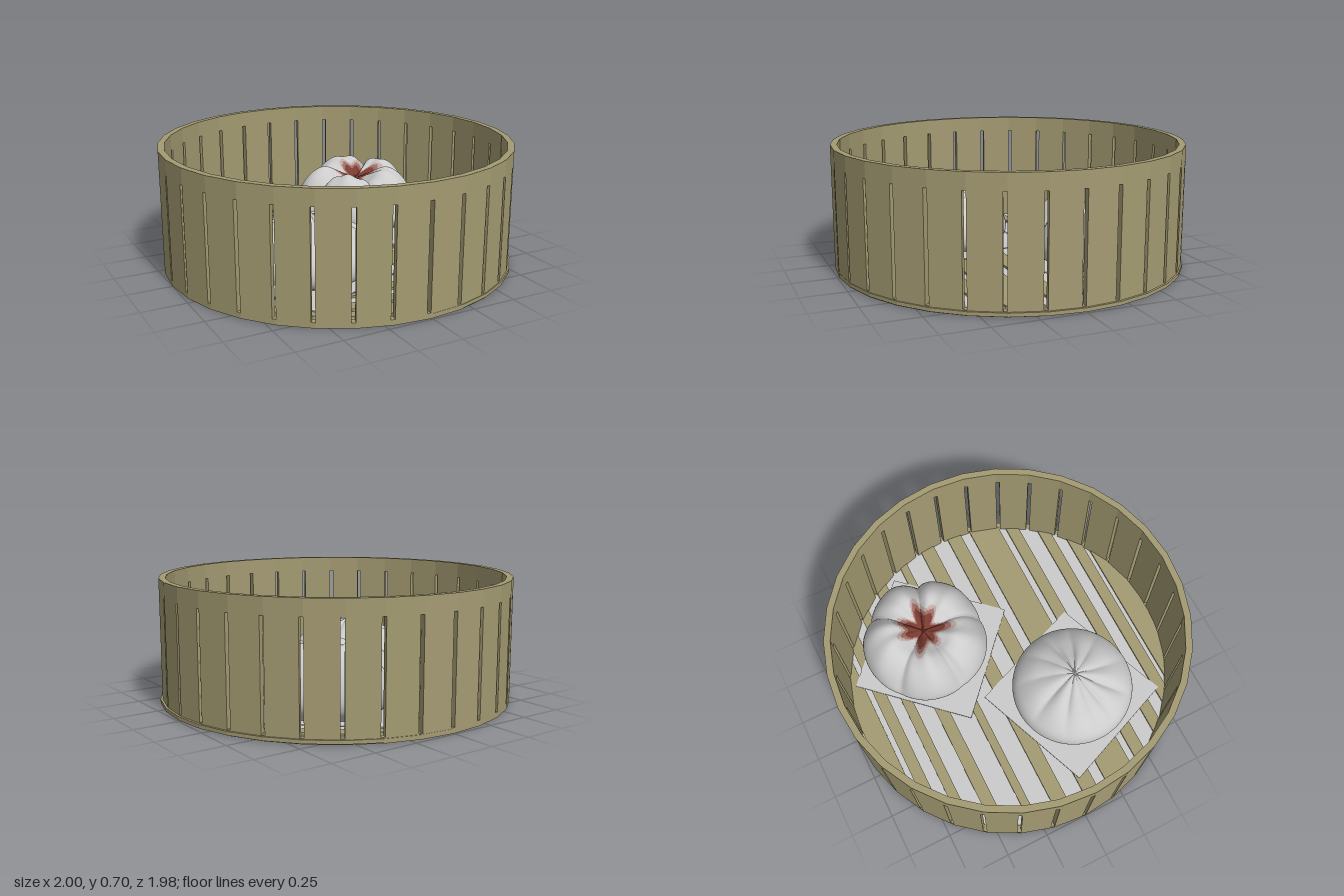
import * as THREE from 'three';
import { mergeGeometries, mergeVertices } from 'three/addons/utils/BufferGeometryUtils.js';

const SIDES = 32, OUTER = 0.992, INNER = 0.955, TOP = 0.7;
const mat = (color) => new THREE.MeshStandardMaterial({ color });
const bamboo = mat(0xa49b72);
const white = mat(0xcccccc);
const dough = mat(0xd4d6d8);
const filling = mat(0x7c3a30);
const blush = mat(0x9c6c64);
const paleBlush = mat(0xbea8a4);

function add(parent, name, geometry, material) {
  const mesh = new THREE.Mesh(geometry, material);
  mesh.name = name;
  parent.add(mesh);
  return mesh;
}

// Upright prism from a plan outline given as [x, z] points; a hole runs the other way round
function prism(points, y0, y1, hole) {
  const toV = ([x, z]) => new THREE.Vector2(x, -z);
  const shape = new THREE.Shape(points.map(toV));
  if (hole) shape.holes.push(new THREE.Path(hole.map(toV).reverse()));
  const g = new THREE.ExtrudeGeometry(shape, { depth: y1 - y0, bevelEnabled: false });
  return g.rotateX(-Math.PI / 2).translate(0, y0, 0);
}

const corner = (r, i) => {
  const a = (i / SIDES) * Math.PI * 2;
  return [r * Math.cos(a), r * Math.sin(a)];
};
const polygon = (r) => Array.from({ length: SIDES }, (_, i) => corner(r, i));
const mix = (p, q, f) => [p[0] + (q[0] - p[0]) * f, p[1] + (q[1] - p[1]) * f];

// Wall: two hoops joined by panels, with a narrow slot beside every corner
function wallGeometry() {
  const slot = 0.11, low = 0.03, high = 0.61;
  const parts = [
    prism(polygon(OUTER), 0, low, polygon(INNER)),
    prism(polygon(OUTER), high, TOP, polygon(INNER)),
  ];
  for (let i = 0; i < SIDES; i++) {
    const o0 = corner(OUTER, i), o1 = corner(OUTER, i + 1);
    const i0 = corner(INNER, i), i1 = corner(INNER, i + 1);
    parts.push(prism([mix(o0, o1, slot), o1, i1, mix(i0, i1, slot)], low, high));
  }
  return mergeGeometries(parts);
}

// Floor slat between two z lines, its ends following the round wall
function slatGeometry(z0, z1) {
  const right = [], left = [];
  for (let i = 0; i <= 6; i++) {
    const z = z0 + ((z1 - z0) * i) / 6;
    const x = Math.sqrt(0.955 ** 2 - z * z);
    right.push([x, z]);
    left.unshift([-x, z]);
  }
  return prism([...right, ...left], 0.034, 0.046);
}

// Smooth bun: a turned profile whose points are moved by a rule
function bunGeometry(profile, deform) {
  const curve = new THREE.SplineCurve(profile.map(([r, y]) => new THREE.Vector2(r, y)));
  const points = curve.getPoints(64).map((p) => new THREE.Vector2(Math.max(p.x, 0), p.y));
  let g = new THREE.LatheGeometry(points, 128);
  const pos = g.attributes.position;
  for (let i = 0; i < pos.count; i++) {
    const x = pos.getX(i), y = pos.getY(i), z = pos.getZ(i);
    const [k, dy] = deform(Math.hypot(x, z), Math.atan2(z, x), y);
    pos.setXYZ(i, x * k, y + dy, z * k);
  }
  g.deleteAttribute('uv');
  g.deleteAttribute('normal');
  g = mergeVertices(g, 1e-5);
  g.computeVertexNormals();
  return g;
}

// Part of a geometry: only the faces whose centre passes the test
function pickFaces(g, test) {
  const p = g.attributes.position, src = g.index.array, out = [];
  for (let i = 0; i < src.length; i += 3) {
    const f = [src[i], src[i + 1], src[i + 2]];
    const mean = (get) => f.reduce((s, v) => s + get(v), 0) / 3;
    if (test(mean((v) => p.getX(v)), mean((v) => p.getY(v)), mean((v) => p.getZ(v)))) out.push(...f);
  }
  const part = new THREE.BufferGeometry();
  part.setAttribute('position', p);
  part.setAttribute('normal', g.attributes.normal);
  part.setIndex(out);
  return part;
}

function paper(parent, x, z, size, angle) {
  const m = add(parent, 'paperSheet', new THREE.BoxGeometry(size, 0.006, size), white);
  m.position.set(x, 0.052, z);
  m.rotation.y = angle;
}

export function createModel() {
  const model = new THREE.Group();
  model.name = 'steamerBasket';

  // Basket
  add(model, 'slottedWall', wallGeometry(), bamboo).position.x = -0.007;
  add(model, 'baseDisc', prism(polygon(OUTER), 0.005, 0.025), bamboo).position.x = 0.006;
  add(model, 'floorSheet', prism(polygon(0.957), 0.026, 0.034), white);

  // Floor slats
  const floor = new THREE.Group();
  floor.name = 'floorSlats';
  const slats = [
    [-0.95, -0.83], [-0.8, -0.73], [-0.665, -0.605], [-0.51, -0.435], [-0.31, -0.26],
    [-0.145, -0.055], [0.045, 0.135], [0.195, 0.375], [0.415, 0.49], [0.59, 0.66],
    [0.73, 0.8], [0.825, 0.95],
  ];
  slats.forEach(([a, b]) => add(floor, 'slat', slatGeometry(a, b), bamboo));
  model.add(floor);

  // Paper sheets
  paper(model, 0.32, -0.36, 0.725, -0.745);
  paper(model, -0.32, 0.27, 0.74, 0.38);

  // Pleated bun: folds fanning out from the crown, fading at the sides
  const pleated = bunGeometry(
    [[0.27, 0.055], [0.335, 0.095], [0.354, 0.16], [0.325, 0.235], [0.24, 0.31], [0.12, 0.36], [0.05, 0.377], [0, 0.38]],
    (r, a, y) => {
      const fade = Math.sin(Math.PI * Math.min(r / 0.36, 1)) * THREE.MathUtils.smoothstep(y, 0.13, 0.22);
      const fold = Math.abs(Math.sin(a * 5.5 + 0.6 * Math.sin(a * 2) + r * 2)) ** 0.8;
      const vary = 0.7 + 0.3 * Math.sin(a * 3 + 1);
      return [1, -0.028 * fade * vary * (1 - fold)];
    });
  add(model, 'pleatedBun', pleated, dough).position.set(-0.31, 0, 0.272);

  // Open bun: five swollen lobes around a sunken crown
  const lobed = bunGeometry(
    [[0.28, 0.055], [0.345, 0.11], [0.365, 0.19], [0.335, 0.295], [0.27, 0.38], [0.19, 0.415], [0.1, 0.38], [0.04, 0.35], [0, 0.342]],
    (r, a, y) => {
      const lobe = Math.abs(Math.sin((a + 0.9 + 0.12 * Math.sin(2 * a)) * 2.5)) ** 0.6;
      const up = THREE.MathUtils.smoothstep(y, 0.055, 0.3);
      const nearCrown = Math.min(r / 0.15, 1);
      const ripple = 0.006 * Math.sin(a * 11 + r * 8);
      const tilt = 0.015 * Math.sin(a + 2.5);
      return [
        1.02 - (0.03 + 0.06 * up) * (1 - lobe),
        (ripple + tilt - 0.07 * (1 - lobe)) * nearCrown * up,
      ];
    });
  // Star-shaped stain of filling on the crown, paling outwards
  const stain = (x, y, z) => {
    const a = Math.atan2(z, x);
    const reach = 0.09 + 0.025 * Math.sin(a * 7 + 1) + 0.02 * Math.sin(a * 4);
    return y < 0.25 ? 9 : Math.hypot(x, z) / reach;
  };
  const bun = new THREE.Group();
  bun.name = 'openBun';
  const bands = [
    ['filling', 0, 1, filling], ['fillingEdge', 1, 1.25, blush],
    ['fillingFade', 1.25, 1.5, paleBlush], ['bunDough', 1.5, Infinity, dough],
  ];
  for (const [name, from, to, material] of bands) {
    const inBand = (x, y, z) => stain(x, y, z) >= from && stain(x, y, z) < to;
    add(bun, name, pickFaces(lobed, inBand), material);
  }
  bun.position.set(0.333, 0, -0.383);
  model.add(bun);

  return model;
}
